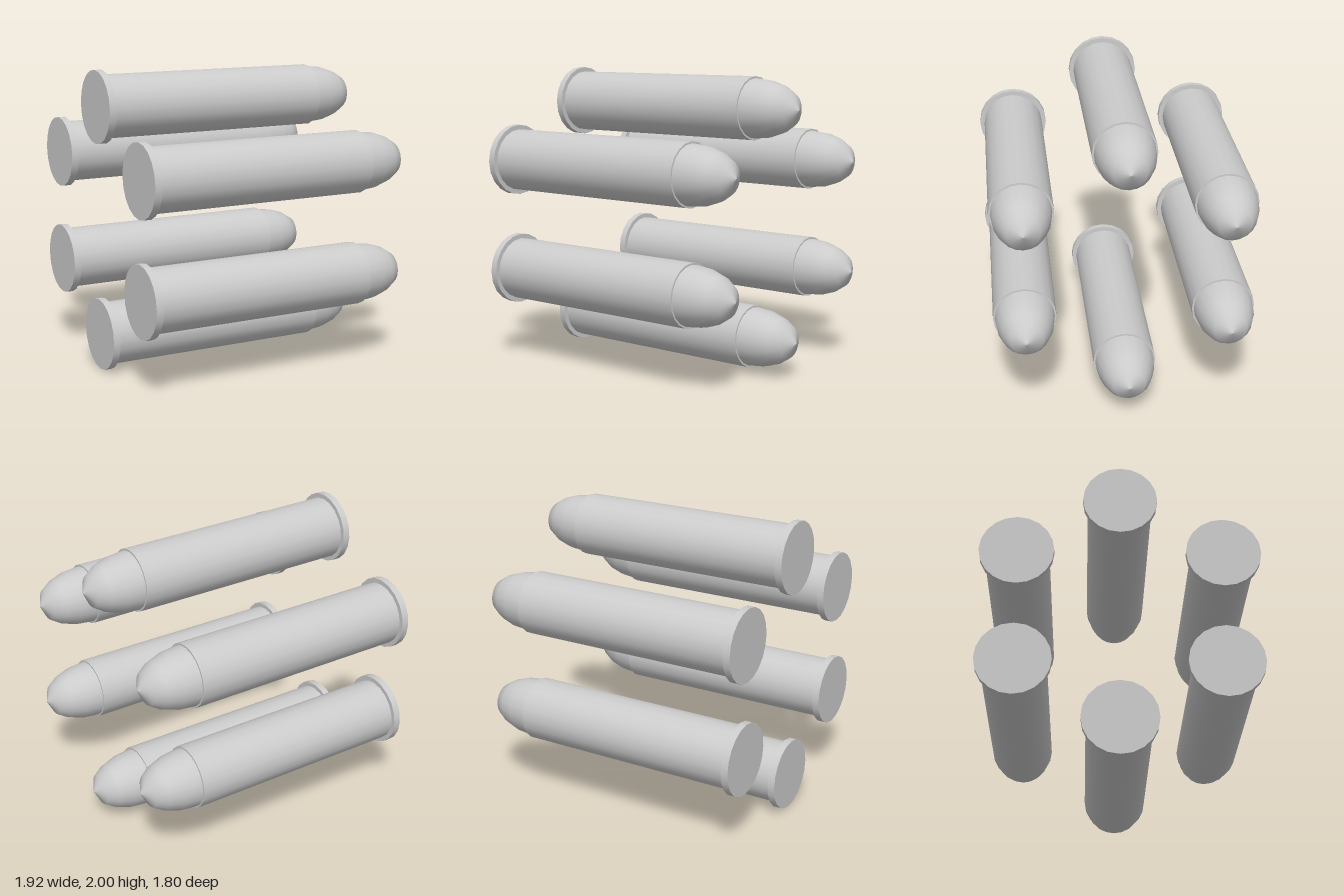
import * as THREE from 'three';

const SIDES = 20;
const RING_RADIUS = 0.76;
const material = new THREE.MeshStandardMaterial({ color: 0xcccccc });

// Closed cylinder lying along x from x0 to x1
function cylinderX(name, radius, x0, x1) {
  const geometry = new THREE.CylinderGeometry(radius, radius, x1 - x0, SIDES);
  geometry.rotateZ(-Math.PI / 2).translate((x0 + x1) / 2, 0, 0);
  const mesh = new THREE.Mesh(geometry, material);
  mesh.name = name;
  return mesh;
}

// Half-ellipsoid nose with its tip towards +x
function createNose(radius, x0, x1) {
  const profile = [0, 20, 39, 57, 90].map((degrees) => {
    const a = THREE.MathUtils.degToRad(degrees);
    return new THREE.Vector2(degrees === 90 ? 0 : radius * Math.cos(a), (x1 - x0) * Math.sin(a));
  });
  const geometry = new THREE.LatheGeometry(profile, SIDES);
  geometry.rotateZ(-Math.PI / 2).translate(x0, 0, 0);
  const mesh = new THREE.Mesh(geometry, material);
  mesh.name = 'bulletNose';
  return mesh;
}

function createCartridge() {
  const cartridge = new THREE.Group();
  cartridge.add(
    cylinderX('rim', 0.24, -0.963, -0.915),
    cylinderX('case', 0.209, -0.92, 0.615),
    createNose(0.197, 0.615, 0.96),
  );
  return cartridge;
}

export function createModel() {
  const model = new THREE.Group();
  model.name = 'cartridgeRing';

  // Six cartridges in a ring around the x axis
  for (let i = 0; i < 6; i++) {
    const angle = (i * Math.PI) / 3;
    const cartridge = createCartridge();
    cartridge.name = `cartridge${i + 1}`;
    cartridge.position.set(0, 1 + RING_RADIUS * Math.cos(angle), RING_RADIUS * Math.sin(angle));
    model.add(cartridge);
  }
  return model;
}
